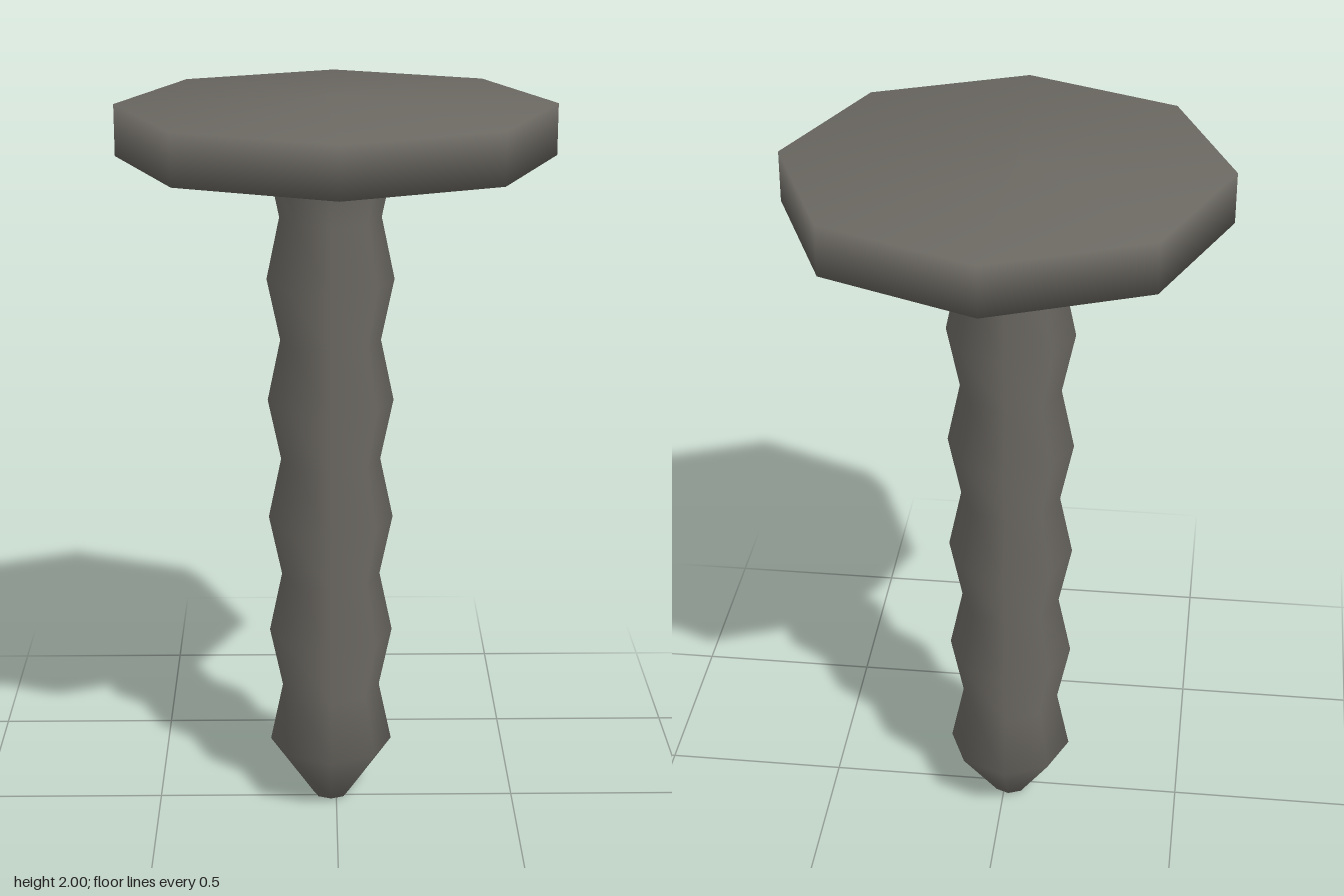
import * as THREE from 'three';

const SIDES = 8;

// Eight-sided turned solid from [radius, height] pairs, bottom to top
function turned(points, name, material) {
  const profile = points.map(([r, y]) => new THREE.Vector2(r, y));
  const mesh = new THREE.Mesh(new THREE.LatheGeometry(profile, SIDES), material);
  mesh.name = name;
  return mesh;
}

export function createModel() {
  const group = new THREE.Group();
  group.name = 'nail';
  const iron = new THREE.MeshStandardMaterial({ color: 0x6b6862 });
  iron.name = 'dark iron';

  // Ridged shaft: blunt tip, then alternating peaks and valleys up to the head
  const shaftPoints = [[0, 0], [0.05, 0.005]];
  for (let i = 0; i <= 10; i++) {
    shaftPoints.push([i % 2 ? 0.135 : 0.17, 0.172 + i * 0.1675]);
  }
  const shaft = turned(shaftPoints, 'shaft', iron);
  shaft.position.set(-0.015, 0, -0.015);

  // Flattened ridge corner on the front of the shaft
  const pos = shaft.geometry.attributes.position;
  for (let i = 0; i < pos.count; i++) {
    if (Math.abs(pos.getY(i) - 0.507) < 0.01 && pos.getZ(i) > 0.16) pos.setZ(i, 0.135);
  }
  group.add(shaft);

  // Wide octagonal head with a shallow domed top
  const head = turned([[0, 1.845], [0.575, 1.845], [0.575, 1.98], [0, 2]], 'head', iron);
  group.add(head);

  // Off-centre crown of the dome
  const hp = head.geometry.attributes.position;
  for (let i = 0; i < hp.count; i++) {
    if (hp.getY(i) > 1.99) hp.setXYZ(i, -0.03, 2, -0.03);
  }
  return group;
}
